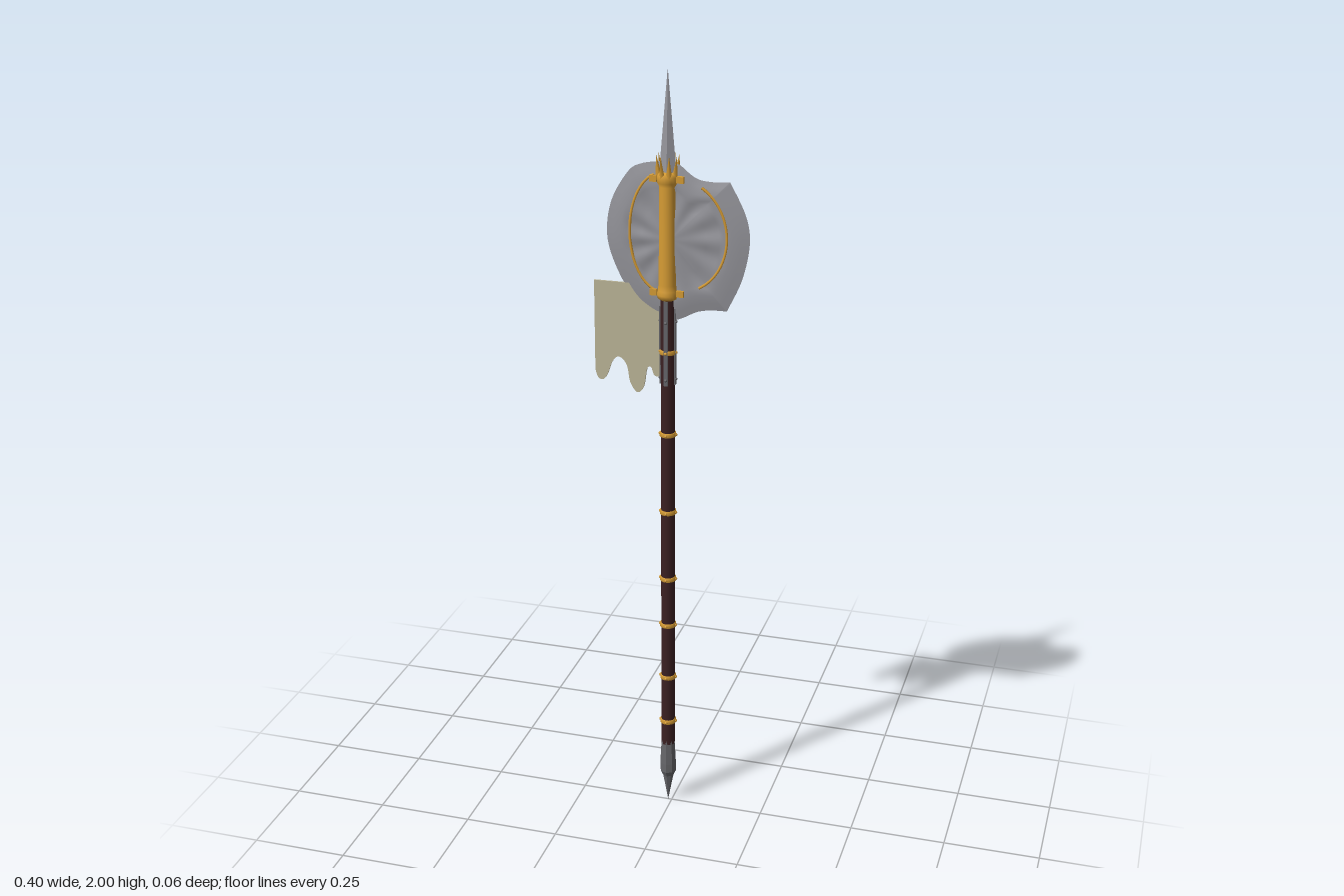
import * as THREE from 'three';

const mat = (name, color, side = THREE.FrontSide) => {
  const m = new THREE.MeshStandardMaterial({ color, side });
  m.name = name;
  return m;
};

export function createModel() {
  const steel = mat('steel', 0x96969c);
  const darkSteel = mat('dark steel', 0x66666a);
  const gold = mat('gold', 0xd69c34);
  const wood = mat('dark wood', 0x3b2022);
  const cloth = mat('cloth', 0xbdb699);

  const root = new THREE.Group();
  root.name = 'halberd';
  const pole = new THREE.Group();
  pole.name = 'pole';
  pole.position.x = -0.01;
  root.add(pole);

  const add = (parent, name, geo, material, x = 0, y = 0, z = 0) => {
    const m = new THREE.Mesh(geo, material);
    m.name = name;
    m.position.set(x, y, z);
    parent.add(m);
    return m;
  };
  const lathe = (pts, n = 16) =>
    new THREE.LatheGeometry(pts.map(([r, y]) => new THREE.Vector2(r, y)), n);

  // Shaft and pointed foot
  add(pole, 'shaft', new THREE.CylinderGeometry(0.018, 0.018, 1.27, 16), wood, 0, 0.815);
  const foot = lathe([[0, 0], [0.015, 0.08], [0.022, 0.095], [0.022, 0.12], [0.018, 0.192], [0, 0.192]], 8).toNonIndexed();
  foot.computeVertexNormals();
  add(pole, 'foot', foot, darkSteel);

  // Gold bands with a stud on each side
  for (const y of [0.25, 0.385, 0.54, 0.675, 0.865, 1.08, 1.3]) {
    add(pole, 'band', lathe([[0.018, y - 0.006], [0.021, y - 0.005], [0.021, y + 0.005], [0.018, y + 0.006]]), gold);
    for (let i = 0; i < 4; i++) {
      const a = (i * Math.PI) / 2;
      add(pole, 'bandStud', new THREE.SphereGeometry(0.004, 8, 6), gold, 0.021 * Math.cos(a), y, 0.021 * Math.sin(a));
    }
  }

  // Steel strips below the head
  for (let i = 0; i < 4; i++) {
    const a = (i * Math.PI) / 2;
    const strip = add(pole, 'langet', new THREE.BoxGeometry(0.01, 0.22, 0.006), darkSteel, 0.018 * Math.sin(a), 1.325, 0.018 * Math.cos(a));
    strip.rotation.y = a;
    for (const y of [1.23, 1.38])
      add(pole, 'rivet', new THREE.SphereGeometry(0.004, 8, 6), darkSteel, 0.021 * Math.sin(a), y, 0.021 * Math.cos(a));
  }

  // Gold socket with flared rims
  add(pole, 'socket', lathe([[0.017, 1.435], [0.025, 1.44], [0.028, 1.45], [0.025, 1.46], [0.023, 1.475],
    [0.021, 1.72], [0.026, 1.73], [0.028, 1.745], [0.023, 1.755], [0, 1.755]], 20), gold);
  for (const y of [1.455, 1.74])
    for (const s of [-1, 1])
      add(pole, 'clamp', new THREE.BoxGeometry(0.018, 0.016, 0.028), gold, s * 0.034, y);

  // Crown points around the top rim
  for (let i = 0; i < 8; i++) {
    const a = ((i + 0.5) * Math.PI) / 4;
    const tip = add(pole, 'crownPoint', new THREE.ConeGeometry(0.008, 0.055, 4), gold, 0.025 * Math.cos(a), 1.772, 0.025 * Math.sin(a));
    tip.rotation.set(0, -a, -0.12);
  }

  // Diamond-section top spike
  const spikeGeo = new THREE.CylinderGeometry(0.0005, 0.023, 0.26, 4).toNonIndexed();
  spikeGeo.scale(1, 1, 0.5);
  spikeGeo.computeVertexNormals();
  add(pole, 'spike', spikeGeo, steel, 0, 1.87);

  // Blade outline, anticlockwise from the bottom
  const v = (x, y) => new THREE.Vector2(x, y);
  const outline = new THREE.Shape();
  outline.moveTo(0, 1.38);
  outline.splineThru([v(0.03, 1.392), v(0.065, 1.41), v(0.1, 1.417), v(0.14, 1.418)]);
  outline.splineThru([v(0.177, 1.5), v(0.195, 1.59), v(0.185, 1.66), v(0.145, 1.74)]);
  outline.splineThru([v(0.1, 1.738), v(0.06, 1.745), v(0.02, 1.775)]);
  outline.lineTo(-0.03, 1.78);
  outline.splineThru([v(-0.075, 1.772), v(-0.11, 1.75), v(-0.153, 1.675), v(-0.165, 1.59),
    v(-0.145, 1.515), v(-0.1, 1.435), v(-0.05, 1.395), v(0, 1.38)]);
  const rim = outline.getPoints(8);
  rim.pop();

  // One blade face: rings from sharp rim to thick centre, with radiating ridges
  const rings = [[1, 0.001], [0.9, 0.0035], [0.78, 0.0075], [0.68, 0.0075], [0.62, 0.005], [0.45, 0.006], [0.25, 0.009], [0.02, 0.01]];
  const bladeFace = (side) => {
    const pos = [], idx = [], n = rim.length;
    rings.forEach(([s, z], r) => rim.forEach((p) => {
      const dx = p.x, dy = p.y - 1.59;
      const ripple = r === 4 || r === 5 ? 0.002 * Math.cos(10 * Math.atan2(dy, dx)) : 0;
      pos.push(dx * s, 1.59 + dy * s, side * (r === 0 ? 0 : z + ripple));
    }));
    for (let r = 0; r < rings.length - 1; r++)
      for (let i = 0; i < n; i++) {
        const a = r * n + i, b = r * n + ((i + 1) % n), c = a + n, d = b + n;
        if (side > 0) idx.push(a, b, d, a, d, c);
        else idx.push(a, d, b, a, c, d);
      }
    const g = new THREE.BufferGeometry();
    g.setAttribute('position', new THREE.Float32BufferAttribute(pos, 3));
    g.setIndex(idx);
    g.computeVertexNormals();
    return g;
  };

  // Gold arcs inlaid along the blades
  const arc = (cx, cy, rx, ry, from, to, z) => {
    const pts = [];
    for (let i = 0; i <= 16; i++) {
      const a = THREE.MathUtils.degToRad(from + ((to - from) * i) / 16);
      pts.push(new THREE.Vector3(cx + rx * Math.cos(a), cy + ry * Math.sin(a), z));
    }
    return new THREE.TubeGeometry(new THREE.CatmullRomCurve3(pts), 32, 0.0035, 6);
  };
  for (const s of [1, -1]) {
    add(root, s > 0 ? 'bladeFront' : 'bladeBack', bladeFace(s), steel);
    add(root, 'leftTrim', arc(0.02, 1.6, 0.12, 0.14, -65, 62, s * 0.0065), gold);
    add(root, 'rightTrim', arc(-0.02, 1.605, 0.085, 0.15, 105, 255, s * 0.0065), gold);
  }

  // Tattered cloth hanging on the right
  const flag = new THREE.Shape();
  flag.moveTo(-0.02, 1.47);
  flag.lineTo(-0.2, 1.47);
  flag.lineTo(-0.2, 1.235);
  flag.splineThru([v(-0.193, 1.215), v(-0.18, 1.21), v(-0.168, 1.225), v(-0.155, 1.26), v(-0.137, 1.275),
    v(-0.117, 1.255), v(-0.108, 1.21), v(-0.09, 1.185), v(-0.073, 1.2), v(-0.064, 1.25),
    v(-0.053, 1.255), v(-0.045, 1.235), v(-0.03, 1.235), v(-0.02, 1.27)]);
  add(root, 'flag', new THREE.ExtrudeGeometry(flag, { depth: 0.005, bevelEnabled: false, curveSegments: 4 }), cloth, 0, 0, -0.0025);

  return root;
}
